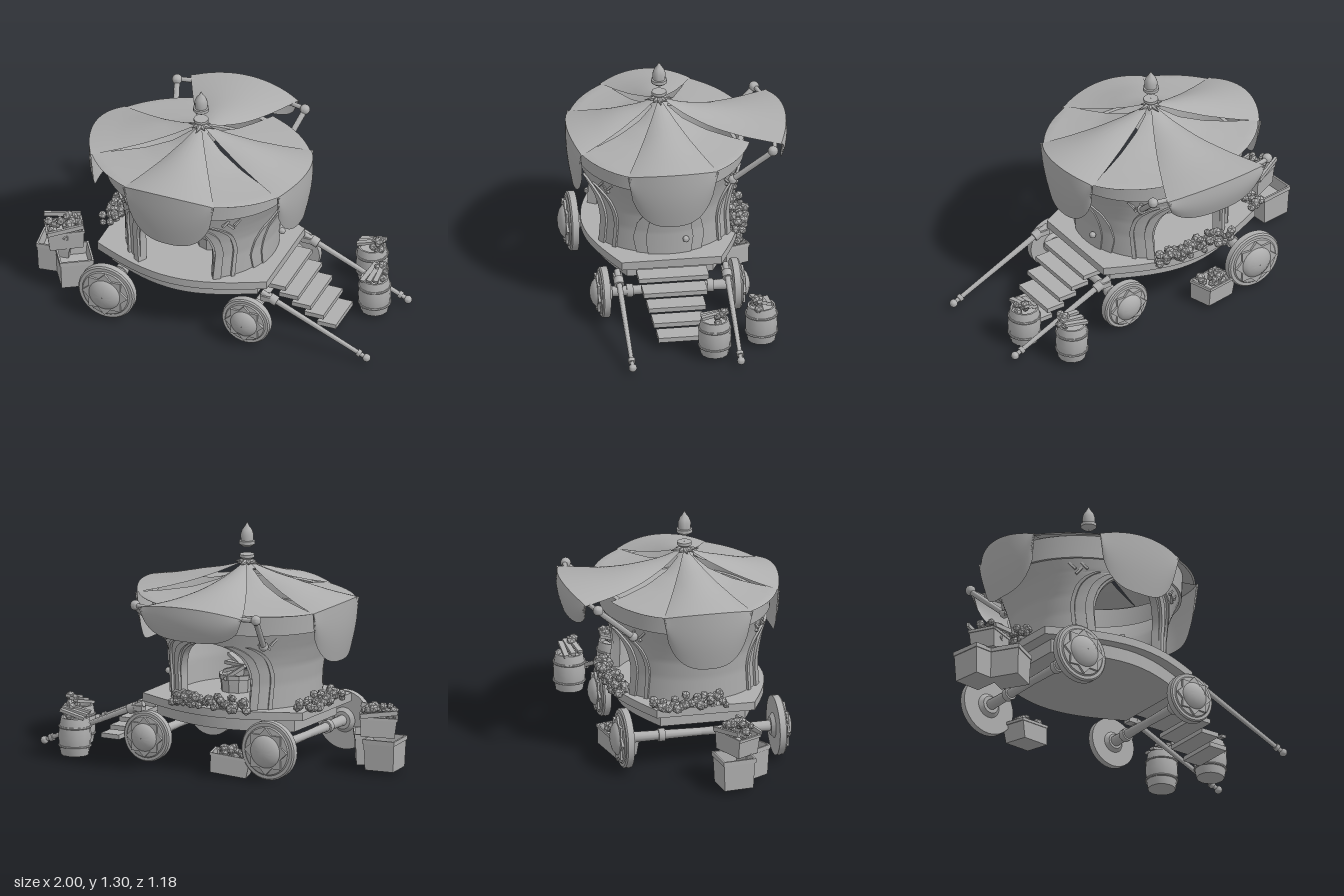
import * as THREE from 'three';
import { toCreasedNormals } from 'three/addons/utils/BufferGeometryUtils.js';

const CX = -0.1, CZ = 0.09, D = Math.PI / 180;
const grey = new THREE.MeshStandardMaterial({ color: 0xaeaeae, side: THREE.DoubleSide });
grey.name = 'plain grey';

function add(parent, name, geo, x = 0, y = 0, z = 0, rx = 0, ry = 0, rz = 0) {
  const m = new THREE.Mesh(toCreasedNormals(geo, 0.6), grey);
  m.name = name;
  m.position.set(x, y, z);
  m.rotation.set(rx, ry, rz);
  parent.add(m);
  return m;
}
function group(parent, name, x = 0, y = 0, z = 0) {
  const g = new THREE.Group();
  g.name = name;
  g.position.set(x, y, z);
  parent.add(g);
  return g;
}
const box = (w, h, d) => new THREE.BoxGeometry(w, h, d);
const ball = (r) => new THREE.SphereGeometry(r, 14, 10);
const lathe = (pts, n = 24) => new THREE.LatheGeometry(pts.map(p => new THREE.Vector2(...p)), n);

// cylinder between two points
function rod(parent, name, a, b, r0, r1 = r0) {
  const A = new THREE.Vector3(...a), B = new THREE.Vector3(...b), d = B.clone().sub(A);
  const m = add(parent, name, new THREE.CylinderGeometry(r1, r0, d.length(), 12));
  m.position.copy(A).add(B).multiplyScalar(0.5);
  m.quaternion.setFromUnitVectors(new THREE.Vector3(0, 1, 0), d.normalize());
}
// surface over a grid of nu x nv cells
function grid(nu, nv, fn) {
  const pos = [], idx = [];
  for (let j = 0; j <= nv; j++) for (let i = 0; i <= nu; i++) pos.push(...fn(i, j));
  for (let j = 0; j < nv; j++) for (let i = 0; i < nu; i++) {
    const a = j * (nu + 1) + i, b = a + nu + 1;
    idx.push(a, a + 1, b + 1, a, b + 1, b);
  }
  const g = new THREE.BufferGeometry();
  g.setAttribute('position', new THREE.Float32BufferAttribute(pos, 3));
  g.setIndex(idx);
  g.computeVertexNormals();
  return g;
}
// piecewise linear lookup in [key, value] pairs
function lerp(t, k) {
  let i = 0;
  while (i < k.length - 2 && t > k[i + 1][0]) i++;
  const [a, b] = [k[i], k[i + 1]];
  return a[1] + (b[1] - a[1]) * Math.min(1, Math.max(0, (t - a[0]) / (b[0] - a[0])));
}
const bodyX = y => lerp(y, [[0.37, 0.405], [0.5, 0.41], [0.6, 0.425], [0.7, 0.462], [0.8, 0.51]]);
const bodyZ = y => lerp(y, [[0.37, 0.405], [0.5, 0.4], [0.65, 0.41], [0.8, 0.445]]);

// curved solid following an ellipse, between angles t0(y)..t1(y); angle 0 is the front
function slab(t0, t1, y0, y1, out, thick, fx = bodyX, fz = bodyZ, n = 28, rows = 26) {
  return grid(2 * n + 2, rows + 2, (i, j) => {
    const y = y0 + (y1 - y0) * Math.min(1, Math.max(0, (j - 1) / rows));
    const inner = i > n && i < 2 * n + 2;
    const k = i > 2 * n + 1 ? 0 : inner ? 2 * n + 1 - i : i;
    const t = t0(y) + (t1(y) - t0(y)) * k / n;
    const o = j === 0 || j === rows + 2 ? out - thick / 2 : inner ? out - thick : out;
    return [CX + (fx(y) + o) * Math.sin(t), y, CZ + (fz(y) + o) * Math.cos(t)];
  });
}

let seed = 7;
const rnd = () => (seed = (seed * 16807) % 2147483647) / 2147483647;
// pile of small faceted fruit filling a box
function pile(parent, name, n, w, h, d, x, y, z, r = 0.024) {
  const g = group(parent, name, x, y, z);
  for (let i = 0; i < n; i++) add(g, 'fruit', new THREE.IcosahedronGeometry(r * (0.8 + rnd() * 0.4), 0),
    (rnd() - 0.5) * w, rnd() * h, (rnd() - 0.5) * d, rnd() * 3, rnd() * 3, rnd() * 3);
}
// open crate with flared walls
function crate(parent, name, w, h, d, x, y, z, ry = 0, rz = 0) {
  const g = group(parent, name, x, y, z);
  g.rotation.set(0, ry, rz);
  const f = [[0.001, 0], [0.64, 0], [0.69, 0.86], [0.73, 0.86], [0.73, 1], [0.65, 1], [0.6, 0.6], [0.001, 0.6]];
  add(g, 'crateShell', lathe(f, 4).rotateY(Math.PI / 4).scale(w, h, d));
  return g;
}
function wheel(parent, name, x, r, z, side) {
  const g = group(parent, name, x, r + 0.02, z);
  if (side < 0) g.rotation.y = Math.PI;
  add(g, 'rim', lathe([[0.001, -0.02], [r * 0.3, -0.02], [r * 0.42, 0], [r, 0], [r, 0.035], [r * 0.95, 0.043],
    [r * 0.84, 0.043], [r * 0.8, 0.05], [r * 0.58, 0.054], [r * 0.54, 0.068], [r * 0.4, 0.085],
    [r * 0.2, 0.095], [0.001, 0.098]], 32).rotateX(Math.PI / 2));
  const s = new THREE.Shape();
  for (let i = 0; i < 16; i++) {
    const q = r * (i % 2 ? 0.6 : 0.8), a = i * Math.PI / 8;
    s[i ? 'lineTo' : 'moveTo'](q * Math.cos(a), q * Math.sin(a));
  }
  add(g, 'star', new THREE.ExtrudeGeometry(s, { depth: 0.014, bevelEnabled: false }), 0, 0, 0.05);
}
function barrel(parent, x, z, turn) {
  const g = group(parent, 'barrel', x, 0.03, z);
  g.rotation.y = turn;
  add(g, 'staves', lathe([[0.001, 0], [0.075, 0], [0.086, 0.06], [0.089, 0.1], [0.086, 0.15], [0.076, 0.205], [0.066, 0.205], [0.066, 0.18], [0.001, 0.18]], 12));
  for (const y of [0.05, 0.155]) add(g, 'hoop', new THREE.TorusGeometry(0.085, 0.006, 6, 20), 0, y, 0, Math.PI / 2);
  for (let i = -1; i < 2; i++) add(g, 'plank', box(0.15, 0.016, 0.028), 0, 0.235 + 0.01 * i, i * 0.032, 0, 0.1 * i, 0.22);
  pile(g, 'greens', 8, 0.05, 0.07, 0.06, 0.035, 0.2, 0.03);
}

// roof panel: half-angle h about angle c, arched by lift, hanging edge of depth drop
const highRoof = [[0.06, 1.085], [0.25, 1.035], [0.5, 0.982], [0.75, 0.943], [1, 0.912]];
const lowRoof = [[0.06, 1.07], [0.25, 0.995], [0.5, 0.948], [0.75, 0.926], [1, 0.912]];
function roofPanel(parent, name, c, h, lift, eave, drop, profile, raised = 0) {
  const rows = 24, R = 14;
  add(parent, name, grid(24, rows, (i, j) => {
    const u = i / 12 - 1, t = c + u * h, v = Math.min(1, j / R), hang = Math.max(0, (j - R) / (rows - R));
    let s = 0.06 + (eave - 0.06) * v;
    let y = lerp(s, profile) + lift * (1 - u * u) * Math.min(1, v * 2.2);
    const len = drop * Math.sqrt(Math.max(0, 1 - Math.abs(u) ** 2.6));
    s += 0.02 * Math.sin(hang * Math.PI) - 0.06 * hang * len / 0.33;
    y += raised * (0.02 * v * v - 0.015 * Math.sin(v * Math.PI)) - hang * len;
    return [CX + 0.615 * (1 + raised * 0.2 * v) * s * Math.sin(t), y, CZ + (0.5 + raised * 0.18 * v) * s * Math.cos(t)];
  }));
}

export function createModel() {
  const root = new THREE.Group();
  root.name = 'marketWagon';

  // deck and underside
  const deck = (k, depth) => {
    const s = new THREE.Shape();
    for (const sgn of [1, -1]) for (let i = 0; i <= 16; i++) {
      const x = sgn * (i / 8 - 1) * 0.49;
      s[sgn > 0 && !i ? 'moveTo' : 'lineTo'](x * k, sgn * k * (0.27 + 0.15 * Math.cos(x / 0.49 * Math.PI / 2)));
    }
    return new THREE.ExtrudeGeometry(s, { depth, bevelEnabled: false }).rotateX(-Math.PI / 2);
  };
  add(root, 'deck', deck(1, 0.045), CX, 0.325, CZ);
  add(root, 'hull', deck(0.86, 0.08), CX, 0.25, CZ);

  // walls with front and back arches
  const w = y => 31 * D * (y < 0.5 ? 1 : Math.sqrt(Math.max(0, 1 - ((y - 0.5) / 0.23) ** 2)));
  for (const s of [0, Math.PI]) {
    add(root, 'wall', slab(y => s + w(y), y => s + Math.PI - w(y), 0.37, 0.8, 0, 0.04));
    for (const m of [-1, 1]) {
      // curved trim beside the arch
      for (const [a, b] of [[0, 6], [14, 17]]) {
        const edge = k => y => s + m * (w(y) + (k + (y - 0.37) * 8) * D);
        const [p, q] = m > 0 ? [a, b] : [b, a];
        add(root, 'archTrim', slab(edge(p), edge(q), 0.37, 0.72, 0.013, 0.03, bodyX, bodyZ, 4));
      }
      // zigzag ornament under the roof ring
      for (let i = 0; i < 3; i++) {
        const t = s + m * (36 + i * 4) * D, y = 0.75 - (i % 2) * 0.025;
        add(root, 'zigzag', box(0.05, 0.012, 0.014), CX + (bodyX(y) + 0.003) * Math.sin(t), y,
          CZ + (bodyZ(y) + 0.003) * Math.cos(t), 0, t, (i % 2 ? -1 : 1) * m * 0.8);
      }
    }
  }

  // door on the left side
  const dw = y => lerp(y, [[0.37, 25], [0.46, 28], [0.55, 25], [0.62, 18], [0.68, 3]]) * D;
  add(root, 'doorFrame', slab(y => Math.PI / 2 - dw(y), y => Math.PI / 2 + dw(y), 0.37, 0.68, 0.01, 0.02));
  add(root, 'door', slab(y => Math.PI / 2 - dw(y) * 0.64, y => Math.PI / 2 + dw(y) * 0.64, 0.37, 0.65, 0.018, 0.02));
  add(root, 'doorKnob', ball(0.018), 0.335, 0.46, 0.005);

  // roof ring and panels
  add(root, 'roofRing', slab(() => 0, () => 2 * Math.PI, 0.79, 0.915, 0, 0.03,
    y => 0.52 + (y - 0.79) * 0.05, y => 0.455 + (y - 0.79) * 0.05, 48, 2));
  roofPanel(root, 'frontAwning', 0, 25 * D, 0.036, 1, 0.33, highRoof);
  roofPanel(root, 'leftAwning', Math.PI / 2, 29 * D, 0.034, 1, 0.33, highRoof);
  roofPanel(root, 'rightAwning', -Math.PI / 2, 29 * D, 0.034, 1, 0.33, highRoof);
  roofPanel(root, 'raisedAwning', Math.PI, 25 * D, 0.04, 1, 0.19, highRoof, 1);
  for (const c of [43, 138, 222, 317]) roofPanel(root, 'roofPanel', c * D, 20 * D, 0, 0.97, 0.01, lowRoof);

  // awning poles
  for (const m of [-1, 1]) {
    const x = CX + m * 0.37;
    rod(root, 'awningPole', [CX + m * 0.3, 0.73, -0.265], [x, 0.92, -0.475], 0.016);
    add(root, 'poleFoot', ball(0.026), CX + m * 0.3, 0.73, -0.265);
    add(root, 'poleBall', ball(0.028), x, 0.925, -0.475);
    rod(root, 'awningRod', [x, 0.925, -0.48], [CX + m * 0.27, 0.925, -0.5], 0.013);
  }

  // crown and acorn finial
  const top = group(root, 'finial', CX, 0, CZ);
  add(top, 'crownCup', lathe([[0.001, 1.06], [0.05, 1.06], [0.025, 1.085], [0.022, 1.105], [0.04, 1.118], [0.04, 1.134], [0.001, 1.134]], 14));
  for (let i = 0; i < 8; i++) {
    const a = i * Math.PI / 4, r = i % 2 ? 0.04 : 0.05;
    add(top, 'crownLeaf', new THREE.ConeGeometry(0.016, i % 2 ? 0.035 : 0.06, 6).rotateX(Math.PI / 2 + 0.1),
      r * Math.sin(a), 1.09, r * Math.cos(a), 0, a);
  }
  add(top, 'acorn', lathe([[0.001, 1.172], [0.025, 1.176], [0.043, 1.19], [0.043, 1.208], [0.034, 1.21], [0.035, 1.245],
    [0.027, 1.268], [0.014, 1.285], [0.001, 1.31]], 14));

  // wheels and axles
  for (const m of [-1, 1]) {
    wheel(root, 'largeWheel', -0.47, 0.162, CZ + m * 0.4, m);
    wheel(root, 'smallWheel', 0.31, 0.138, CZ + m * 0.335, m);
    for (const [x, y, r] of [[-0.47, 0.182, 0.4], [0.31, 0.158, 0.335]]) {
      rod(root, 'axle', [x, y, CZ], [x, y, CZ + m * r], 0.022, 0.03);
      rod(root, 'axleCollar', [x, y, CZ + m * 0.2], [x, y, CZ + m * 0.235], 0.036);
    }
    // shafts
    const z = CZ + m * 0.293;
    rod(root, 'shaft', [0.37, 0.315, z], [0.97, 0.05, z], 0.017, 0.012);
    add(root, 'shaftTip', ball(0.022), 0.978, 0.046, z);
    rod(root, 'shaftCollar', [0.42, 0.293, z], [0.46, 0.275, z], 0.028);
    rod(root, 'shaftRing', [0.925, 0.07, z], [0.945, 0.061, z], 0.02);
    add(root, 'shaftMount', box(0.06, 0.03, 0.05), 0.4, 0.29, z);
  }

  // stairs
  for (let i = 0; i < 5; i++)
    add(root, 'step', box(0.11, 0.026, 0.38 - i * 0.035), 0.41 + i * 0.066, 0.29 - i * 0.056, CZ - 0.002);

  // goods inside and on the sills
  for (const x of [-0.23, -0.02]) {
    add(root, 'tub', lathe([[0.001, 0], [0.085, 0], [0.09, 0.07], [0.098, 0.07], [0.098, 0.095], [0.08, 0.095], [0.075, 0.06], [0.001, 0.06]], 10), x, 0.37, 0.12);
    for (let i = 0; i < 4; i++)
      add(root, 'plank', box(0.13, 0.018, 0.04), x - 0.02 + i * 0.015, 0.48 + i * 0.016, 0.06 + i * 0.035, 0, 0.4 - i * 0.3, x < -0.1 ? 0.4 : -0.6 + i * 0.3);
  }
  pile(root, 'backFruit', 70, 0.46, 0.06, 0.09, CX, 0.375, -0.32);
  pile(root, 'sideFruit', 45, 0.08, 0.06, 0.4, -0.6, 0.38, 0.0);

  // barrels and crates around the wagon
  barrel(root, 0.71, -0.35, 0.1);
  barrel(root, 0.835, -0.08, 1.5);
  crate(root, 'lowerCrate', 0.18, 0.17, 0.18, -0.9, 0.03, 0.17, 0.12);
  crate(root, 'lowerCrate', 0.18, 0.17, 0.18, -0.76, 0.03, 0.27, 0.55);
  const up = crate(root, 'upperCrate', 0.2, 0.11, 0.15, -0.84, 0.2, 0.2, 0.5, 0.06);
  pile(up, 'crateFruit', 26, 0.16, 0.09, 0.12, 0, 0.075, 0);
  for (const m of [-1, 1]) add(up, 'crateSlat', box(0.2, 0.025, 0.015), 0, 0.13, m * 0.08, 0, 0, m * 0.15);
  const low = crate(root, 'leaningCrate', 0.22, 0.11, 0.14, -0.22, 0.025, -0.31, 0.3, 0.14);
  pile(low, 'crateFruit', 24, 0.17, 0.06, 0.1, 0, 0.085, 0);
  return root;
}
